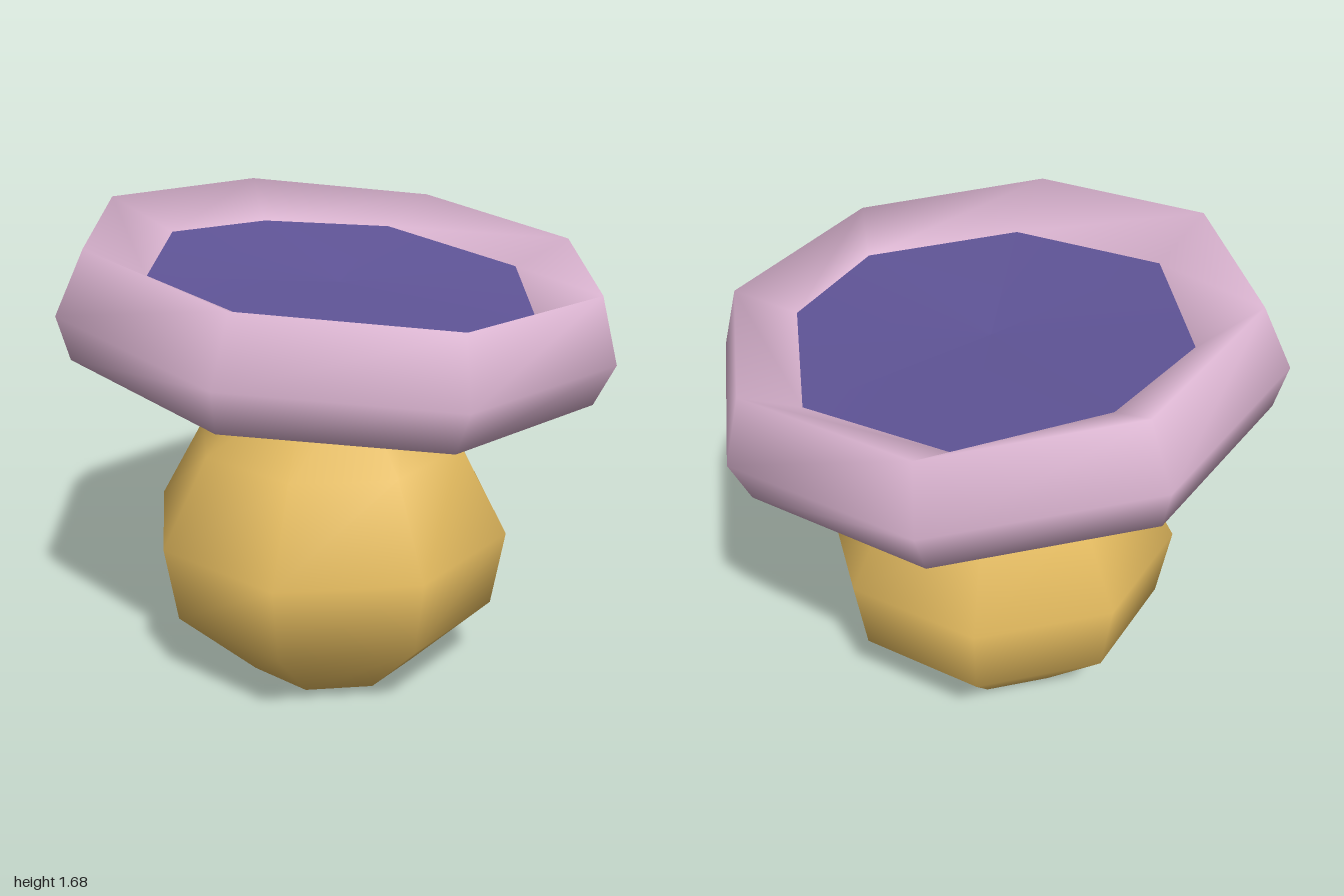
import * as THREE from 'three';

const SIDES = 8;

const gold = new THREE.MeshStandardMaterial({ name: 'gold', color: 0xe4bb5f });
const pink = new THREE.MeshStandardMaterial({ name: 'pink', color: 0xd8b2ce });
const blue = new THREE.MeshStandardMaterial({ name: 'blue', color: 0x605598 });

// One octagonal cross-section
function ring(radius, y, phase = 7.5, shiftZ = 0) {
  return Array.from({ length: SIDES }, (_, k) => {
    const a = THREE.MathUtils.degToRad(phase + k * 45);
    return [radius * Math.cos(a), y, radius * Math.sin(a) + shiftZ];
  });
}

// Smooth skin through successive octagonal cross-sections
function loft(rings) {
  const index = [];
  for (let i = 0; i < rings.length - 1; i++) {
    for (let k = 0; k < SIDES; k++) {
      const next = (k + 1) % SIDES;
      const a = i * SIDES + k, b = i * SIDES + next;
      const c = a + SIDES, d = b + SIDES;
      index.push(a, c, b, b, c, d);
    }
  }
  const geometry = new THREE.BufferGeometry();
  geometry.setAttribute('position', new THREE.Float32BufferAttribute(rings.flat(2), 3));
  geometry.setIndex(index);
  geometry.computeVertexNormals();
  return geometry;
}

function add(parent, name, geometry, material) {
  const mesh = new THREE.Mesh(geometry, material);
  mesh.name = name;
  parent.add(mesh);
  return mesh;
}

export function createModel() {
  const model = new THREE.Group();
  model.name = 'dishOnBulb';

  // Bulb base, its neck slightly twisted and set back: radius, y, phase, z
  const profile = [
    [0, 0, 2, 0.05], [0.322, 0, 2, 0.05], [0.615, 0.3, 2, 0.065], [0.661, 0.585, 2, 0.065],
    [0.488, 0.9, 2, 0.06], [0.26, 1.14, 7.5, 0.02], [0.285, 1.425, 7.5, 0.02],
  ];
  const bulb = add(model, 'bulbBase', loft(profile.map((p) => ring(...p))), gold);
  bulb.position.x = -0.018;

  // Tilted dish
  const dish = new THREE.Group();
  dish.name = 'dish';
  dish.position.y = 1.4;
  dish.rotation.z = -0.1;
  model.add(dish);

  // Uneven edge of the dish floor
  const floorEdge = [[0.71, 0.14], [0.52, 0.55], [-0.03, 0.69], [-0.57, 0.4],
    [-0.69, -0.17], [-0.44, -0.53], [0.01, -0.74], [0.56, -0.46]].map(([x, z]) => [x, 0.08, z]);

  // Rim, from the tucked-under lip round to the floor edge
  const rim = [[0.85, -0.15], [0.95, -0.19], [1.005, -0.035], [0.92, 0.19]].map((p) => ring(...p));
  add(dish, 'rim', loft([...rim, floorEdge]), pink);

  // Shallow floor and the hollow underside that receives the neck
  add(dish, 'dishFloor', loft([floorEdge, ring(0, 0.05)]), blue);
  add(dish, 'underside', loft([ring(0, 0.01), ring(0.28, 0.01), ring(0.945, -0.193)]), gold);

  return model;
}
